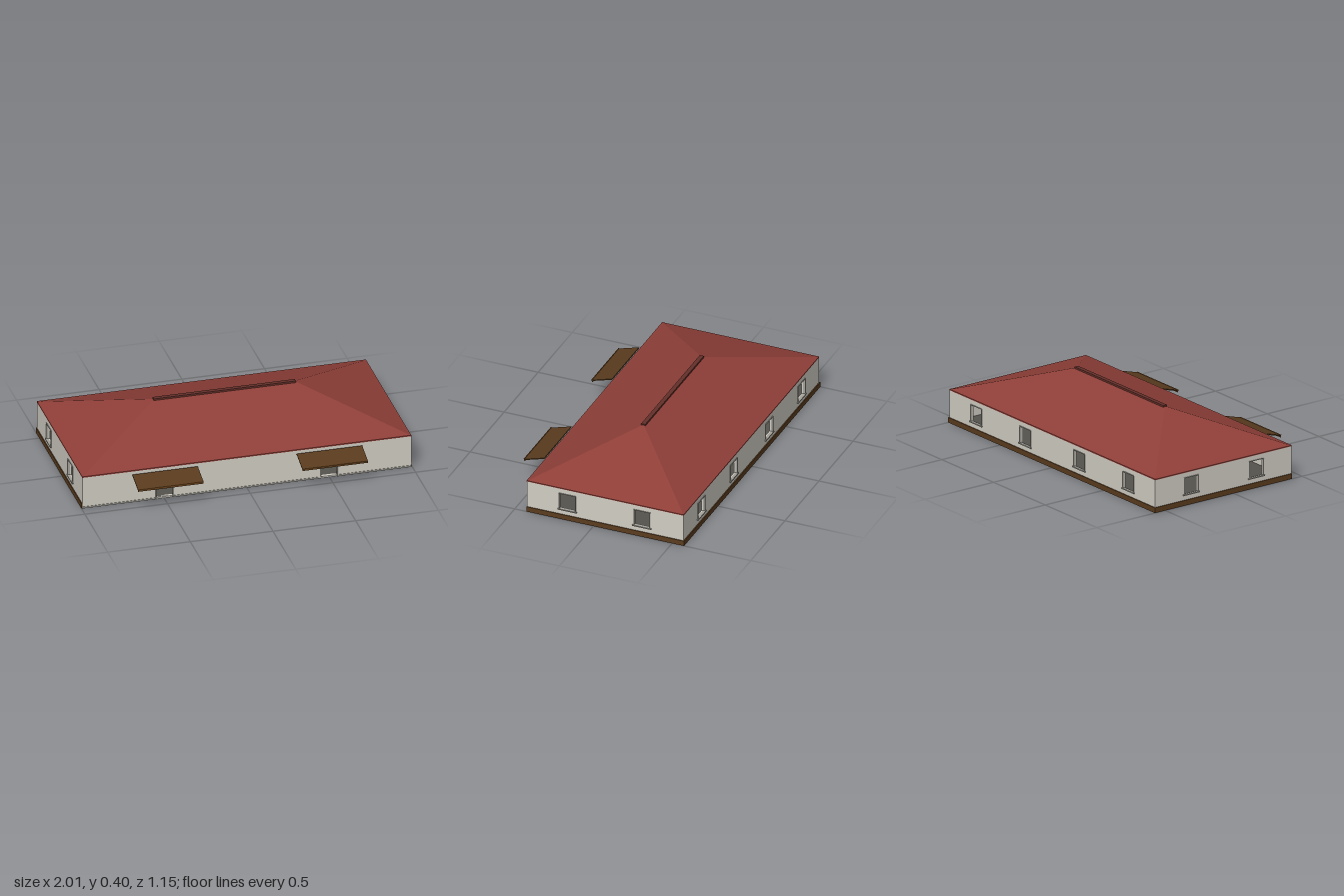
import * as THREE from 'three';

const mat = (color, extra = {}) => new THREE.MeshStandardMaterial({ color, ...extra });
const WALL = mat(0xd2cec4), TRIM = mat(0xa5a299), BROWN = mat(0x5a3c1e), LIP = mat(0x7a4f22);
const FLOOR = mat(0x55534e), RED = mat(0x8f3f38), DARK_RED = mat(0x66302a);
const ROOF = mat(0x8f3f38, { side: THREE.DoubleSide, flatShading: true });

// Outer extents of the building
const X = 0.995, ZF = 0.425, ZB = -0.57, ZM = (ZF + ZB) / 2, EAVE = 0.2, T = 0.02;
const WIN = { y0: 0.065, y1: 0.17, w: 0.104 };
const DOOR = { y0: 0.01, y1: 0.155, w: 0.104 };

export function createModel() {
  const model = new THREE.Group();
  model.name = 'house';

  // Box given by its minimum and maximum corners
  const box = (name, material, x0, x1, y0, y1, z0, z1, parent = model) => {
    const mesh = new THREE.Mesh(new THREE.BoxGeometry(x1 - x0, y1 - y0, z1 - z0), material);
    mesh.position.set((x0 + x1) / 2, (y0 + y1) / 2, (z0 + z1) / 2);
    mesh.name = name;
    parent.add(mesh);
    return mesh;
  };

  // Wall in the XY plane, with rectangular openings centred on the given offsets
  const wall = (name, u0, u1, centres, o) => {
    const rect = (p, a, b, c, d) => p.moveTo(a, c).lineTo(b, c).lineTo(b, d).lineTo(a, d).closePath();
    const shape = rect(new THREE.Shape(), u0, u1, 0, EAVE);
    for (const c of centres) shape.holes.push(rect(new THREE.Path(), c - o.w / 2, c + o.w / 2, o.y0, o.y1));
    const mesh = new THREE.Mesh(new THREE.ExtrudeGeometry(shape, { depth: T, bevelEnabled: false }), WALL);
    mesh.name = name;
    model.add(mesh);
    return mesh;
  };

  const backWindows = [-0.735, -0.26, 0.26, 0.735];
  const sideWindows = [-0.307, 0.168];
  const doors = [-0.497, 0.497];

  wall('frontWall', -X, X, doors, DOOR).position.z = ZF - T;
  wall('backWall', -X, X, backWindows, WIN).position.z = ZB;
  for (const s of [1, -1]) {
    const side = wall(s > 0 ? 'leftWall' : 'rightWall', ZB + T, ZF - T, sideWindows, WIN);
    side.rotation.y = -Math.PI / 2;
    side.position.x = s > 0 ? X : -X + T;
  }

  // Window surround, built facing +z about its own centre line
  const windowFrame = (x, z, turn) => {
    const g = new THREE.Group(), h = WIN.w / 2, j = 0.004;
    g.name = 'windowFrame';
    box('sill', TRIM, -h - 0.008, h + 0.008, WIN.y0 - 0.004, WIN.y0 + 0.003, -0.01, 0.008, g);
    box('windowHead', TRIM, -h, h, WIN.y1 - 0.002, WIN.y1 + 0.002, -0.01, 0.004, g);
    for (const s of [-1, 1])
      box('windowJamb', TRIM, s * h - j / 2, s * h + j / 2, WIN.y0, WIN.y1, -0.01, 0.004, g);
    g.position.set(x, 0, z);
    g.rotation.y = turn;
    model.add(g);
  };
  for (const x of backWindows) windowFrame(x, ZB, Math.PI);
  for (const z of sideWindows) for (const s of [1, -1]) windowFrame(s * X, z, s * Math.PI / 2);

  // Floor and brown plinth strips on the back and sides
  box('floor', FLOOR, -X + 0.002, X - 0.002, 0, 0.01, ZB + 0.002, ZF - 0.002);
  box('backPlinth', BROWN, -1, 1, 0, 0.032, ZB - 0.006, ZB);
  box('leftPlinth', BROWN, X, 1, 0, 0.032, ZB, ZF);
  box('rightPlinth', BROWN, -1, -X, 0, 0.032, ZB, ZF);

  // Front plinth is interrupted by the doorways
  const gaps = [-X, -0.555, -0.44, 0.44, 0.555, X];
  for (let i = 0; i < gaps.length; i += 2)
    box('frontPlinth', TRIM, gaps[i], gaps[i + 1], 0, 0.01, ZF, ZF + 0.003);

  for (const x of doors) {
    // Door surround
    const h = DOOR.w / 2;
    for (const s of [-1, 1])
      box('doorJamb', TRIM, x + s * h - 0.003, x + s * h + 0.003, 0, DOOR.y1, ZF - 0.01, ZF + 0.005);
    box('doorHead', TRIM, x - h - 0.003, x + h + 0.003, DOOR.y1, DOOR.y1 + 0.004, ZF - 0.01, ZF + 0.005);

    // Sloping canopy with a lip along its lower edge
    const canopy = new THREE.Group();
    canopy.name = 'canopy';
    box('canopyBoard', BROWN, -0.198, 0.198, -0.003, 0.003, 0, 0.135, canopy);
    box('canopyLip', LIP, -0.198, 0.198, -0.01, 0.006, 0.131, 0.135, canopy);
    canopy.position.set(x - 0.003, 0.188, 0.445);
    canopy.rotation.x = 0.285;
    model.add(canopy);
  }

  // Furniture behind the doorways: a shelf unit and a low bench
  box('shelfBack', BROWN, 0.44, 0.555, 0.01, 0.15, -0.25, -0.24);
  for (const y of [0.012, 0.04, 0.07, 0.1, 0.13]) box('shelf', BROWN, 0.44, 0.555, y, y + 0.005, -0.24, -0.2);
  box('benchBase', BROWN, -0.555, -0.44, 0.01, 0.032, -0.26, -0.2);
  box('benchRail', BROWN, -0.555, -0.44, 0.064, 0.068, -0.26, -0.25);

  // Hip roof: four eave corners and two ridge ends
  const y0 = 0.204, y1 = 0.394, zr = -0.07, xr = 0.425;
  const A = [-X, y0, ZF], B = [X, y0, ZF], C = [X, y0, ZB], D = [-X, y0, ZB];
  const L = [-xr, y1, zr], R = [xr, y1, zr];
  const faces = [A, B, R, A, R, L, B, C, R, C, D, L, C, L, R, D, A, L];
  const roofGeo = new THREE.BufferGeometry();
  roofGeo.setAttribute('position', new THREE.Float32BufferAttribute(faces.flat(), 3));
  roofGeo.computeVertexNormals();
  const roof = new THREE.Mesh(roofGeo, ROOF);
  roof.name = 'hipRoof';
  model.add(roof);

  // Ridge cap and eave boards
  box('ridgeCap', DARK_RED, -0.43, 0.43, 0.388, 0.4, zr - 0.013, zr + 0.013);
  for (const [name, z] of [['frontEave', ZF - 0.006], ['backEave', ZB + 0.006]])
    box(name, RED, -X, X, EAVE, 0.207, z - 0.007, z + 0.007);
  for (const s of [-1, 1])
    box('sideEave', RED, s * (X - 0.006) - 0.006, s * (X - 0.006) + 0.006, EAVE, 0.206, ZB + 0.01, ZF - 0.01);

  return model;
}
